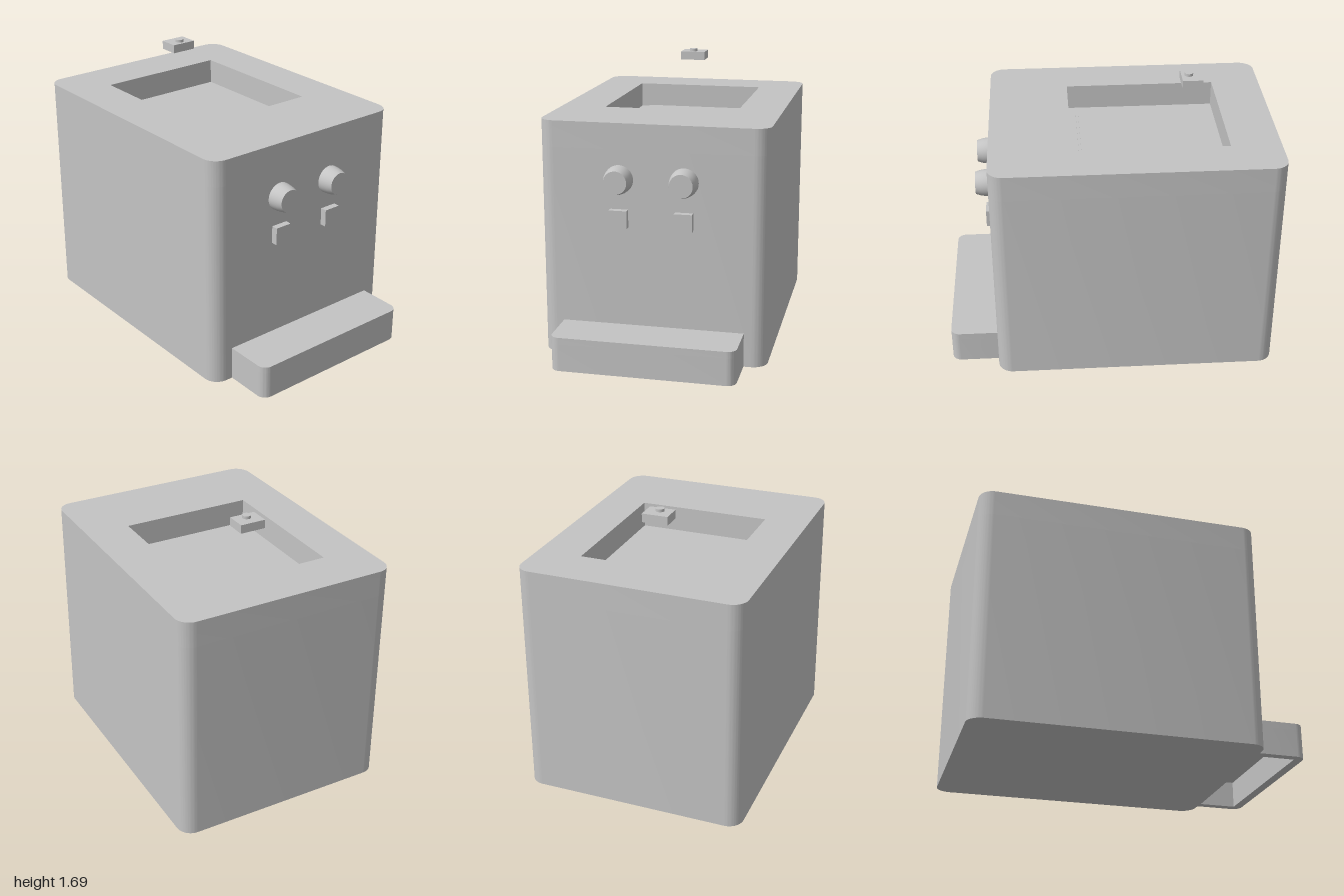
import * as THREE from 'three';
import { toCreasedNormals } from 'three/addons/utils/BufferGeometryUtils.js';

const grey = new THREE.MeshStandardMaterial({ color: 0xc4c4c4 });
grey.name = 'plain grey';

// Outline on the ground plane, from x0..x1 and z0..z1, with rounded corners
function outline(Type, x0, x1, z0, z1, r) {
  const s = new Type(), a = -z1, b = -z0;
  if (!r) {
    s.moveTo(x0, a).lineTo(x1, a).lineTo(x1, b).lineTo(x0, b).closePath();
    return s;
  }
  s.moveTo(x0 + r, a);
  s.lineTo(x1 - r, a).absarc(x1 - r, a + r, r, -Math.PI / 2, 0);
  s.lineTo(x1, b - r).absarc(x1 - r, b - r, r, 0, Math.PI / 2);
  s.lineTo(x0 + r, b).absarc(x0 + r, b - r, r, Math.PI / 2, Math.PI);
  s.lineTo(x0, a + r).absarc(x0 + r, a + r, r, Math.PI, Math.PI * 1.5);
  return s;
}

// Raise an outline from y0 to y1, keeping its rounded corners smooth
function slab(name, shape, y0, y1, hole) {
  if (hole) shape.holes.push(hole);
  const raw = new THREE.ExtrudeGeometry(shape, { depth: y1 - y0, bevelEnabled: false, curveSegments: 10 });
  raw.rotateX(-Math.PI / 2).translate(0, y0, 0);
  const mesh = new THREE.Mesh(toCreasedNormals(raw, 0.6), grey);
  mesh.name = name;
  return mesh;
}

function box(name, x0, x1, y0, y1, z0, z1) {
  const mesh = new THREE.Mesh(new THREE.BoxGeometry(x1 - x0, y1 - y0, z1 - z0), grey);
  mesh.position.set((x0 + x1) / 2, (y0 + y1) / 2, (z0 + z1) / 2);
  mesh.name = name;
  return mesh;
}

export function createModel() {
  const model = new THREE.Group();
  model.name = 'countertopMachine';
  const S = THREE.Shape, P = THREE.Path;
  const top = 1.415, floor = 1.26;

  // Housing: solid lower block and an upper ring around the square well
  const body = () => outline(S, -0.675, 0.675, -1, 0.71, 0.09);
  model.add(slab('housingLower', body(), 0, floor));
  model.add(slab('housingUpper', body(), floor, top, outline(P, -0.405, 0.405, -0.7, 0.225, 0)));

  // Plates lying at the bottom of the well
  model.add(slab('wellPlate', outline(S, -0.355, 0.355, -0.645, 0.175, 0), floor, floor + 0.01));
  model.add(slab('wellPanel', outline(S, -0.34, 0.34, -0.63, 0.16, 0.04), floor + 0.01, floor + 0.02));

  // Front tray: a roof over walls that are open underneath
  const tray = () => outline(S, -0.543, 0.543, 0.71, 1, 0.055);
  // The back corners are square where the tray meets the housing
  const trayShape = () => {
    const s = new S(), r = 0.055;
    s.moveTo(-0.543 + r, -1).lineTo(0.543 - r, -1).absarc(0.543 - r, -1 + r, r, -Math.PI / 2, 0);
    s.lineTo(0.543, -0.71).lineTo(-0.543, -0.71).lineTo(-0.543, -1 + r);
    s.absarc(-0.543 + r, -1 + r, r, Math.PI, Math.PI * 1.5);
    return s;
  };
  model.add(slab('trayWalls', trayShape(), 0, 0.165, outline(P, -0.49, 0.49, 0.715, 0.945, 0)));
  model.add(slab('trayTop', trayShape(), 0.165, 0.205));

  // Two tapering dials, each above a square button
  const dialProfile = [[0.084, 0], [0.083, 0.025], [0.078, 0.06], [0.068, 0.093]]
    .map(([r, h]) => new THREE.Vector2(r, h));
  for (const [side, x] of [['right', -0.194], ['left', 0.189]]) {
    const dial = new THREE.Group();
    dial.name = side + 'Dial';
    const rim = new THREE.Mesh(new THREE.LatheGeometry(dialProfile, 40), grey);
    rim.rotation.x = Math.PI / 2;
    rim.name = 'dialSide';
    const face = new THREE.Mesh(new THREE.CircleGeometry(0.068, 40), grey);
    face.position.z = 0.093;
    face.name = 'dialFace';
    dial.add(rim, face);
    dial.position.set(x, 1.087, 0.71);
    model.add(dial);
    model.add(box(side + 'Button', x - 0.053, x + 0.053, 0.803, 0.91, 0.71, 0.75));
  }

  // Small separate block above the well, with a round stud
  model.add(box('floatingBlock', -0.079, 0.077, 1.623, 1.675, -0.572, -0.45));
  const stud = new THREE.Mesh(new THREE.CylinderGeometry(0.026, 0.026, 0.018, 24), grey);
  stud.position.set(-0.003, 1.683, -0.495);
  stud.name = 'blockStud';
  model.add(stud);
  return model;
}
